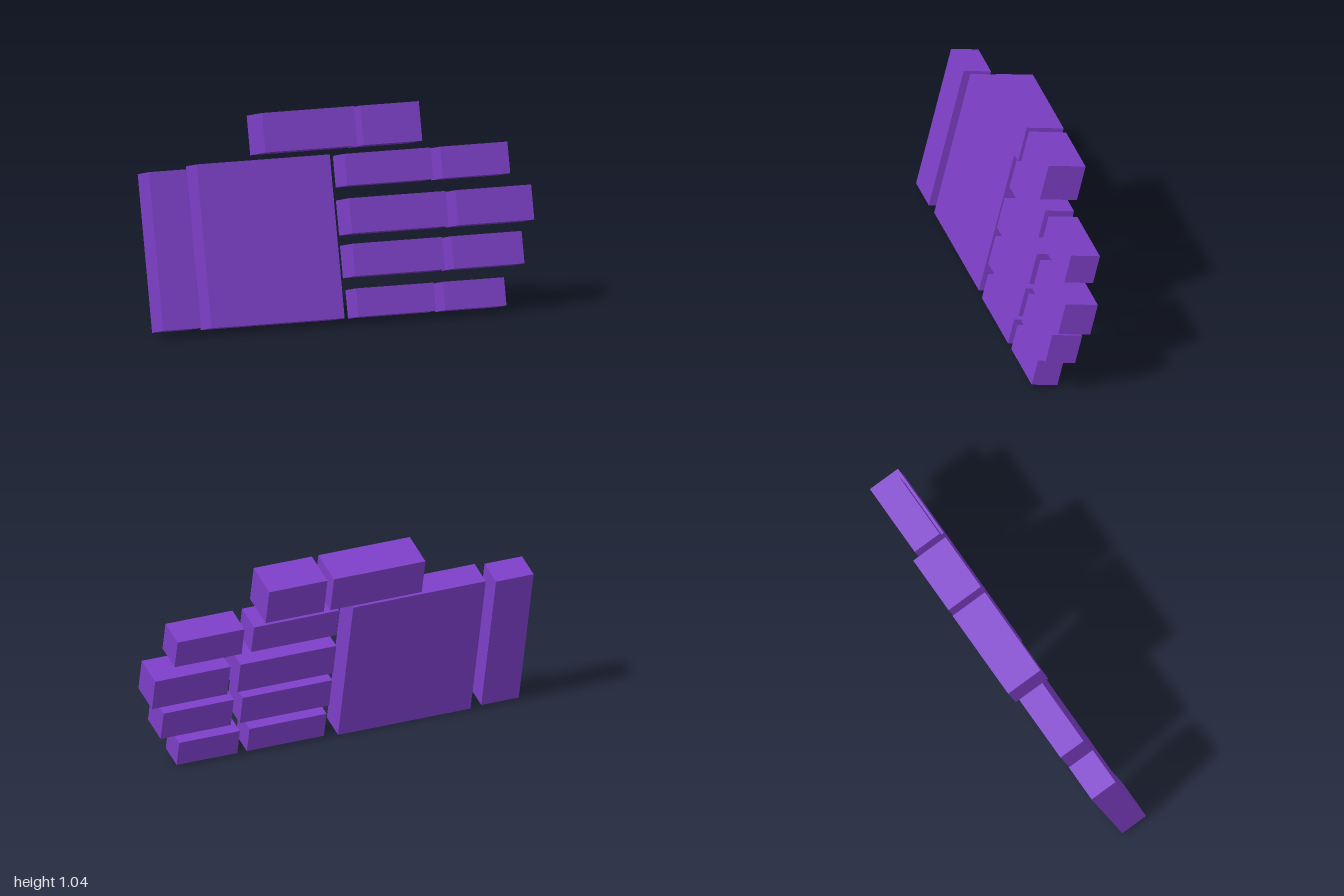
import * as THREE from 'three';

export function createModel() {
  const model = new THREE.Group();
  model.name = 'blockHand';
  const material = new THREE.MeshStandardMaterial({ color: 0x7d3fc8, flatShading: true });
  const lean = -0.233; // the whole hand tips backwards

  // One leaning block spanning x0..x1, centred on y and z
  function block(name, x0, x1, y, z, height, depth, parent = model) {
    const mesh = new THREE.Mesh(new THREE.BoxGeometry(x1 - x0, height, depth), material);
    mesh.name = name;
    mesh.position.set((x0 + x1) / 2, y, z);
    mesh.rotation.x = lean;
    parent.add(mesh);
  }

  block('wrist', -1, -0.8, 0.405, 0.04, 0.778, 0.144);
  block('palm', -0.741, -0.035, 0.411, 0.031, 0.803, 0.139);

  // Each digit: centre y and z, height, depth, then the x spans of its two segments
  const digits = [
    ['littleFinger', 0.092, 0.117, 0.139, 0.135, [0.035, 0.446], [0.497, 0.82]],
    ['ringFinger', 0.295, 0.07, 0.159, 0.157, [0.032, 0.508], [0.556, 0.93]],
    ['middleFinger', 0.505, 0.02, 0.172, 0.169, [0.035, 0.545], [0.599, 1]],
    ['indexFinger', 0.725, -0.034, 0.155, 0.151, [0.037, 0.492], [0.543, 0.9]],
    ['thumb', 0.928, -0.083, 0.194, 0.195, [-0.388, 0.099], [0.134, 0.444]],
  ];
  for (const [name, y, z, height, depth, base, tip] of digits) {
    const digit = new THREE.Group();
    digit.name = name;
    block(name + 'Base', ...base, y, z, height, depth, digit);
    block(name + 'Tip', ...tip, y, z, height, depth, digit);
    model.add(digit);
  }
  return model;
}
